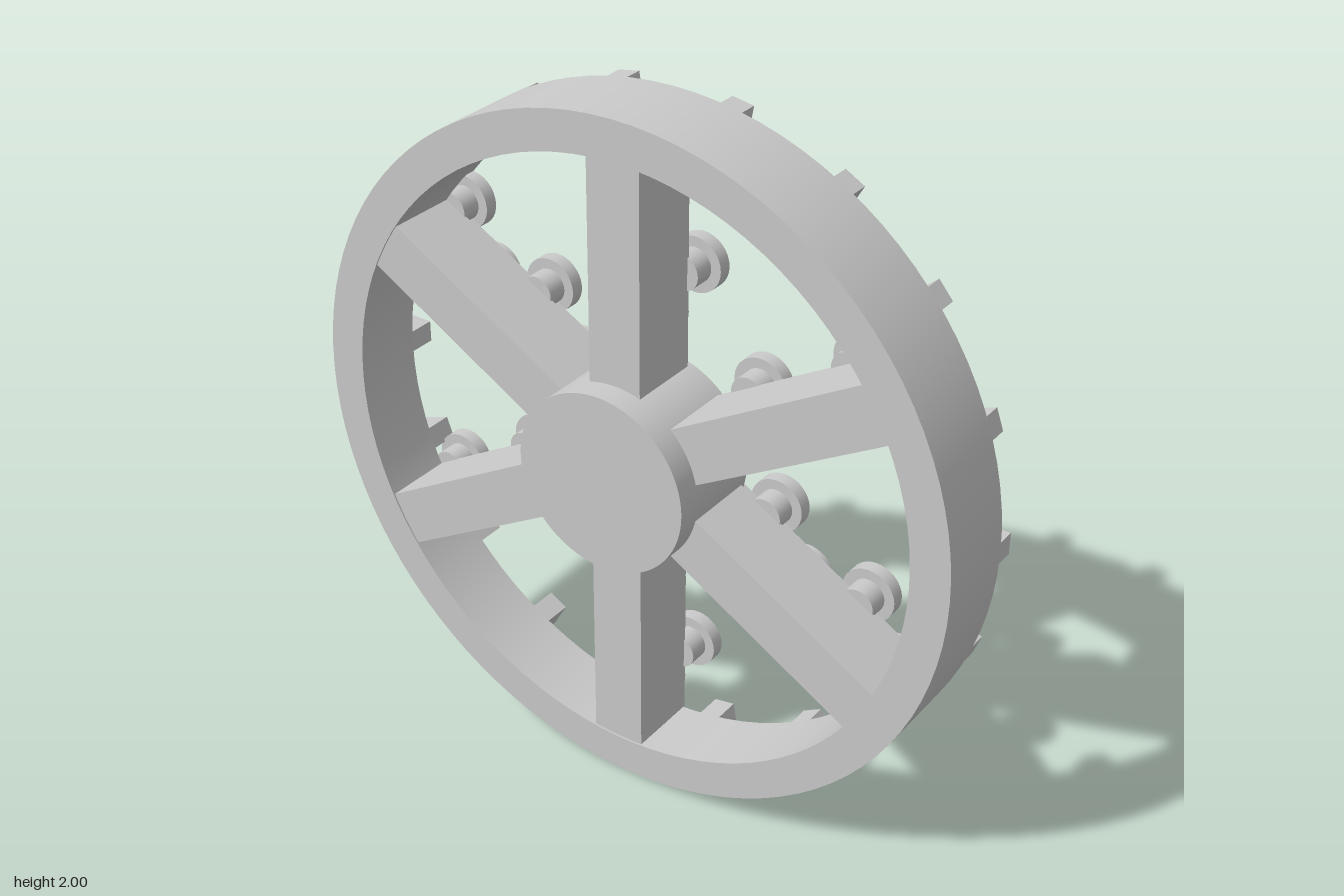
import * as THREE from 'three';
import { toCreasedNormals } from 'three/addons/utils/BufferGeometryUtils.js';

const metal = new THREE.MeshStandardMaterial({ color: 0xcacaca });
metal.name = 'light grey';

function part(name, geometry, x = 0, y = 0, z = 0) {
  const mesh = new THREE.Mesh(geometry, metal);
  mesh.name = name;
  mesh.position.set(x, y, z);
  return mesh;
}

// Revolve [radius, height] points around the wheel axis (local z)
function turned(points) {
  const g = new THREE.LatheGeometry(points.map(([r, h]) => new THREE.Vector2(r, h)), 96);
  g.rotateX(Math.PI / 2);
  return toCreasedNormals(g, 0.5);
}

// Box given by its radial (y), tangential (x) and axial (z) extents
function slab(name, halfWidth, r0, r1, z0, z1) {
  const g = new THREE.BoxGeometry(halfWidth * 2, r1 - r0, z1 - z0);
  return part(name, g, 0, (r0 + r1) / 2, (z0 + z1) / 2);
}

function disc(name, radius, x, y, z0, z1) {
  const g = new THREE.CylinderGeometry(radius, radius, z1 - z0, 32);
  g.rotateX(Math.PI / 2);
  return part(name, g, x, y, (z0 + z1) / 2);
}

function makeSpoke() {
  const spoke = new THREE.Group();
  spoke.name = 'spoke';
  spoke.add(slab('spokeBeam', 0.08, 0.2, 0.9, -0.178, 0.03));
  spoke.add(slab('spokeFace', 0.08, 0.2, 0.935, 0.02, 0.036));
  spoke.add(slab('spokeRail', 0.044, 0.2, 0.94, 0.03, 0.085));
  // Staggered round knobs on short stems
  for (let i = 0; i < 4; i++) {
    const x = i % 2 ? -0.063 : 0.063;
    const r = 0.35 + i * 0.17;
    spoke.add(disc('knobStem', 0.05, x, r, 0.03, 0.092));
    spoke.add(disc('knob', 0.08, x, r, 0.09, 0.13));
  }
  return spoke;
}

export function createModel() {
  const wheel = new THREE.Group();
  wheel.name = 'wheel';

  // Rim with a raised outer lip on its front
  wheel.add(part('rim', turned([
    [0.888, -0.183], [1, -0.183], [1, 0.075], [0.965, 0.075],
    [0.965, 0.03], [0.888, 0.03], [0.888, -0.183],
  ])));

  // Hub drum with a conical nose
  wheel.add(part('hub', turned([
    [0, -0.25], [0.262, -0.25], [0.262, 0.053], [0.066, 0.25], [0, 0.25],
  ])));

  for (let i = 0; i < 6; i++) {
    const spoke = makeSpoke();
    spoke.rotation.z = i * Math.PI / 3;
    wheel.add(spoke);
  }

  // Teeth around the front of the rim
  for (let i = 0; i < 18; i++) {
    const holder = new THREE.Group();
    holder.name = 'rimTooth';
    holder.add(slab('tooth', 0.032, 0.907, 0.998, 0.025, 0.13));
    holder.rotation.z = Math.PI / 2 + i * Math.PI / 9;
    wheel.add(holder);
  }

  // Stand upright with the nose towards +x
  wheel.rotation.y = Math.PI / 2;
  wheel.position.y = 1;
  const model = new THREE.Group();
  model.name = 'spokedWheel';
  model.add(wheel);
  return model;
}
